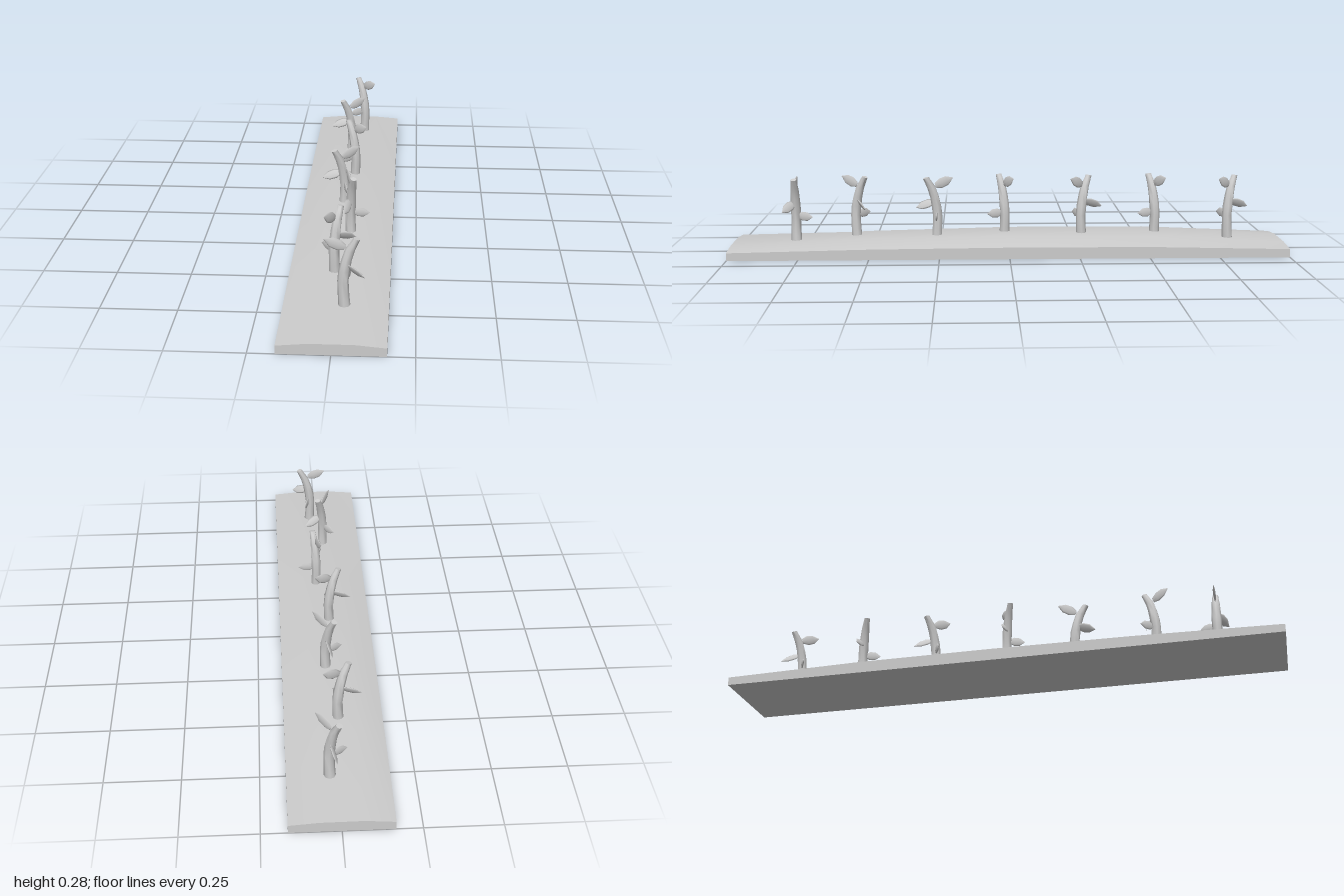
import * as THREE from 'three';
import { toCreasedNormals } from 'three/addons/utils/BufferGeometryUtils.js';

const grey = new THREE.MeshStandardMaterial({ color: 0xcccccc, side: THREE.DoubleSide });
const rad = THREE.MathUtils.degToRad;

// Long low bed: cross-sections along z, domed in the middle, flat underneath
function createBed() {
  // z, edge height, inner left-hand and right-hand heights (at x = -0.07 and 0.07)
  const sections = [
    [1, 0.028, 0.037, 0.037], [0.5, 0.038, 0.059, 0.058], [0, 0.042, 0.071, 0.064],
    [-0.5, 0.041, 0.07, 0.062], [-1, 0.03, 0.039, 0.038],
  ];
  const pos = [], idx = [], n = 6;
  for (const [z, edge, a, b] of sections) {
    pos.push(-0.166, 0, z, -0.166, edge, z, -0.07, a, z, 0.07, b, z, 0.166, edge, z, 0.166, 0, z);
  }
  for (let i = 0; i < sections.length - 1; i++) {
    for (let j = 0; j < n; j++) {
      const p = i * n + j, q = i * n + (j + 1) % n;
      idx.push(p, q, p + n, q, q + n, p + n);
    }
  }
  // End caps
  const last = (sections.length - 1) * n;
  for (let j = 1; j < n - 1; j++) idx.push(0, j + 1, j, last, last + j, last + j + 1);
  const geo = new THREE.BufferGeometry();
  geo.setAttribute('position', new THREE.Float32BufferAttribute(pos, 3));
  geo.setIndex(idx);
  const mesh = new THREE.Mesh(toCreasedNormals(geo, rad(40)), grey);
  mesh.name = 'bed';
  return mesh;
}

// Stem: tapered lathe whose rings shift along +x as it rises
function createStemGeometry() {
  // radius, height, sideways shift
  const rings = [
    [0, 0.045, 0], [0.0195, 0.045, 0], [0.018, 0.08, -0.002], [0.0175, 0.13, -0.004],
    [0.018, 0.165, 0], [0.0165, 0.2, 0.007], [0.0145, 0.235, 0.018],
    [0.0115, 0.26, 0.032], [0.0105, 0.273, 0.039], [0, 0.273, 0.039],
  ];
  const geo = new THREE.LatheGeometry(rings.map(([r, y]) => new THREE.Vector2(r, y)), 8);
  const p = geo.attributes.position;
  for (let i = 0; i < p.count; i++) {
    const [, y, shift] = rings[i % rings.length];
    // Upper rings tilt with the lean
    p.setY(i, y - (y > 0.22 ? 0.3 * p.getX(i) : 0));
    p.setX(i, p.getX(i) + shift);
  }
  return toCreasedNormals(geo, rad(50));
}

// Leaf: flattened pointed bud lying along +x, then aimed
function createLeafGeometry({ length, width, roll, pitch, turn, start, y }) {
  const profile = [[0, 0], [0.25, 0.02], [0.46, 0.3], [0.42, 0.65], [0, 1]];
  const geo = new THREE.LatheGeometry(
    profile.map(([r, t]) => new THREE.Vector2(r * width, t * length)), 8);
  geo.rotateZ(-Math.PI / 2);
  geo.scale(1, 1, 0.25);
  geo.rotateX(rad(roll));
  geo.rotateZ(rad(pitch));
  geo.translate(start, y, 0);
  geo.rotateY(-rad(turn));
  return geo;
}

export function createModel() {
  const model = new THREE.Group();
  model.name = 'plantedBed';
  model.add(createBed());

  const parts = {
    stem: createStemGeometry(),
    middleLeaf: createLeafGeometry({ length: 0.074, width: 0.037, roll: 30, pitch: -20, turn: 31, start: 0.01, y: 0.184 }),
    lowerLeaf: createLeafGeometry({ length: 0.057, width: 0.036, roll: 0, pitch: -3, turn: -73, start: 0.009, y: 0.136 }),
    upperLeaf: createLeafGeometry({ length: 0.073, width: 0.04, roll: 0, pitch: 22, turn: 180, start: -0.004, y: 0.242 }),
  };

  // x, z, turn of each plant in degrees from +x towards +z
  const plants = [
    [0.027, 0.77, 0], [-0.016, 0.555, -61], [0.022, 0.262, 73], [-0.016, 0.015, 149],
    [0.012, -0.266, 225], [-0.016, -0.537, 149], [0.027, -0.8, 225],
  ];
  for (const [x, z, turn] of plants) {
    const plant = new THREE.Group();
    plant.name = 'plant';
    for (const [name, geo] of Object.entries(parts)) {
      const mesh = new THREE.Mesh(geo, grey);
      mesh.name = name;
      plant.add(mesh);
    }
    plant.position.set(x, 0, z);
    plant.rotation.y = -rad(turn);
    model.add(plant);
  }
  return model;
}
